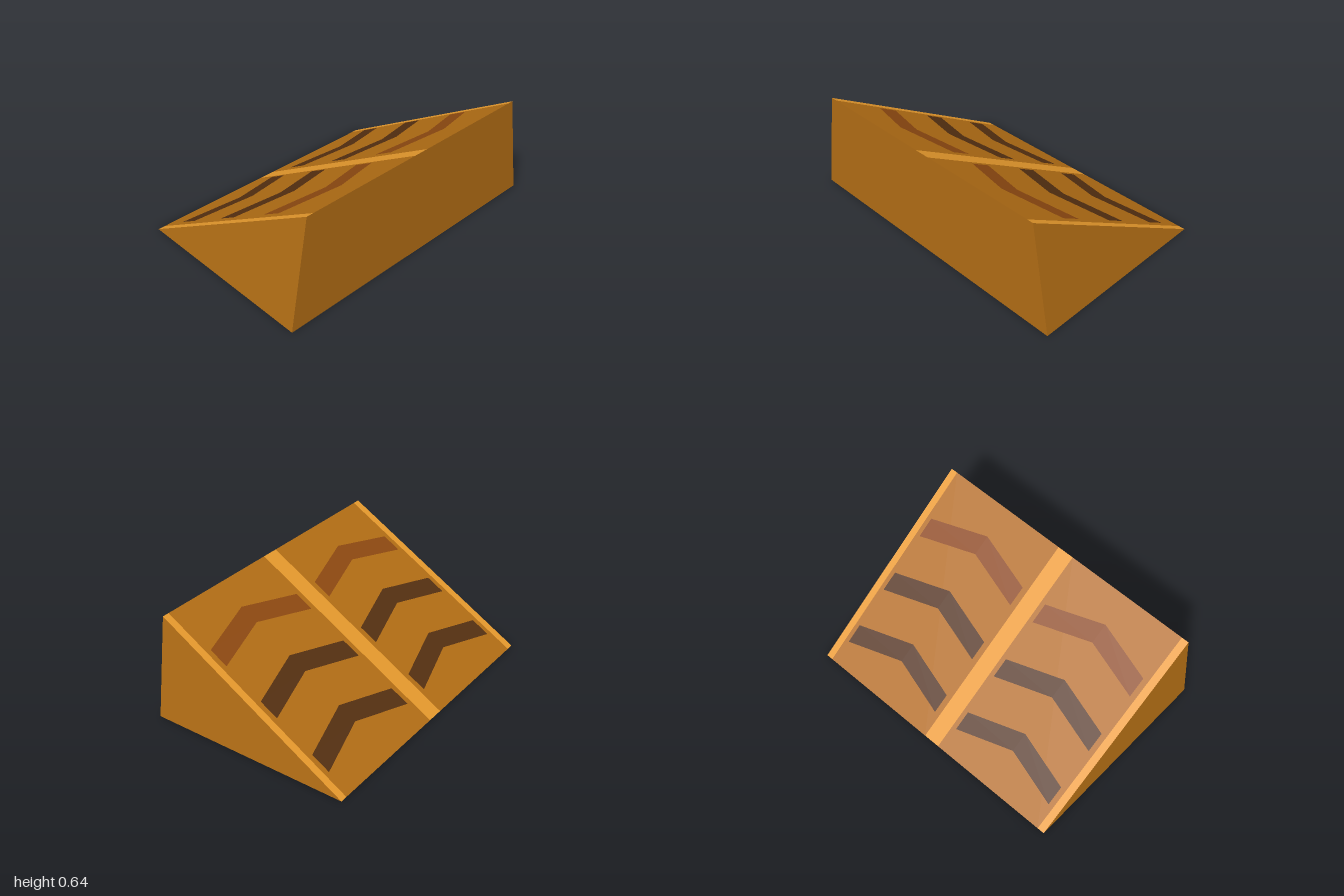
import * as THREE from 'three';

const X = 0.63, H = 0.643, Z_TOP = 0.88, Z_BASE = 1;
const CHEVRON_LIFT = 0.004;

const deckY = (x) => H * (x + X) / (2 * X);
const onDeck = (x, z, lift = 0) => [x, deckY(x) + lift, z];

// Flat convex faces, each a counter-clockwise ring of corners
function facesMesh(name, faces, material) {
  const positions = [];
  for (const ring of faces) {
    for (let i = 1; i < ring.length - 1; i++) positions.push(...ring[0], ...ring[i], ...ring[i + 1]);
  }
  const geometry = new THREE.BufferGeometry();
  geometry.setAttribute('position', new THREE.Float32BufferAttribute(positions, 3));
  geometry.computeVertexNormals();
  const mesh = new THREE.Mesh(geometry, material);
  mesh.name = name;
  return mesh;
}

// Full-length band of the sloping deck between two z values
const band = (z0, z1) => [onDeck(-X, z1), onDeck(X, z1), onDeck(X, z0), onDeck(-X, z0)];

// Arrow marking pointing up the slope, made of two mirrored arms
function chevron(x, zc) {
  const half = 0.36;
  const outer = (z) => [onDeck(x, z, CHEVRON_LIFT), onDeck(x + 0.115, z, CHEVRON_LIFT)];
  const [tailMid, tipMid] = [onDeck(x + 0.105, zc, CHEVRON_LIFT), onDeck(x + 0.22, zc, CHEVRON_LIFT)];
  const [a, b] = outer(zc + half);
  const [c, d] = outer(zc - half);
  return [[a, b, tipMid, tailMid], [tailMid, tipMid, d, c]];
}

export function createModel() {
  const group = new THREE.Group();
  group.name = 'ramp';
  const paint = (color) => new THREE.MeshStandardMaterial({ color });
  const bodyPaint = paint(0xb06c14);
  const stripePaint = paint(0xe4982c);
  const darkPaint = paint(0x542f10);
  const litPaint = paint(0x8c4810);
  darkPaint.side = litPaint.side = THREE.DoubleSide;

  // Wedge: flared sides, upright back wall and base
  const toe = (s) => [-X, 0, s * Z_TOP];
  const crest = (s) => [X, H, s * Z_TOP];
  const heel = (s) => [X, 0, s * Z_BASE];
  group.add(facesMesh('wedgeBody', [
    [toe(1), heel(1), crest(1)],
    [toe(-1), crest(-1), heel(-1)],
    [heel(1), heel(-1), crest(-1), crest(1)],
    [toe(-1), heel(-1), heel(1), toe(1)],
  ], bodyPaint));

  // Sloping deck: two lanes between three bright stripes
  group.add(facesMesh('deckLanes', [band(-0.838, -0.055), band(0.05, 0.834)], bodyPaint));
  group.add(facesMesh('deckStripes',
    [band(-Z_TOP, -0.838), band(-0.055, 0.05), band(0.834, Z_TOP)], stripePaint));

  // Three chevrons per lane, the highest one in a brighter tone
  for (const [side, zc] of [['left', -0.45], ['right', 0.44]]) {
    for (let i = 0; i < 3; i++) {
      const lane = side === 'left' ? 'rearLane' : 'frontLane';
      group.add(facesMesh(`${lane}Chevron${i + 1}`, chevron(-0.49 + i * 0.36, zc), i === 2 ? litPaint : darkPaint));
    }
  }
  return group;
}
